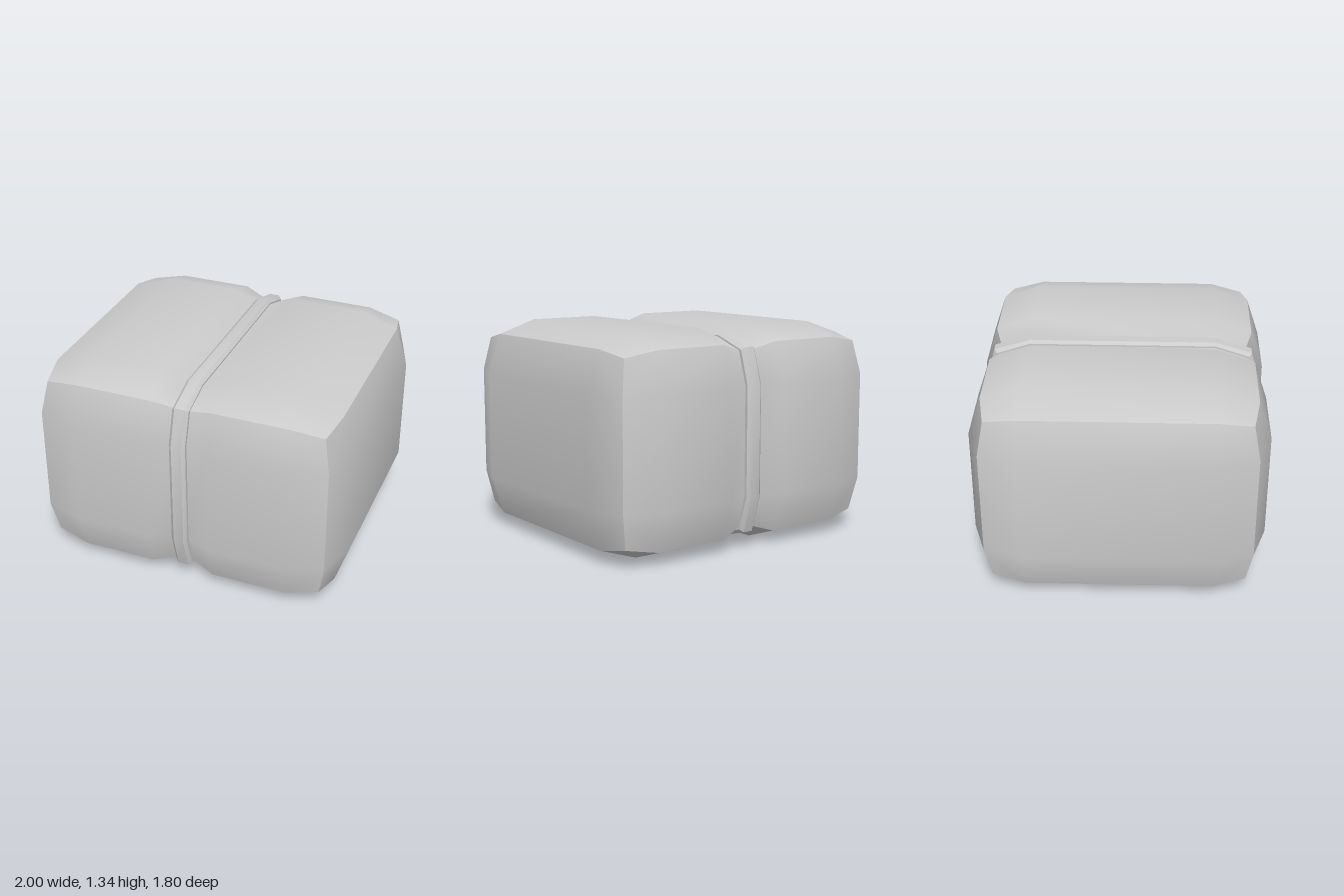
import * as THREE from 'three';
import { toCreasedNormals } from 'three/addons/utils/BufferGeometryUtils.js';

const MID_Y = 0.67;

// Puffed block: a segmented box whose vertices are pulled in at edges, corners and waist
function blockGeometry() {
  const geo = new THREE.BoxGeometry(6, 3, 3, 6, 3, 3);
  const pos = geo.attributes.position;
  const stations = [0, 0.2, 0.67];                 // inner columns along x
  const outer = [1, 0.67, 0.9];                    // half sizes
  const inner = [0, 0.34, 0.58];                   // inner rows along y and z
  const pull = [0, 0, 0.082, 0.12];                // pull-in on face, edge, corner
  const v = new THREE.Vector3();
  for (let i = 0; i < pos.count; i++) {
    const g = v.fromBufferAttribute(pos, i).toArray().map(Math.round);
    const grid = [pos.getX(i), pos.getY(i), pos.getZ(i)];
    const column = Math.abs(g[0]);
    const limit = [3, 1.5, 1.5];
    const extreme = grid.map((c, a) => Math.abs(c) > limit[a] - 0.1);
    const count = extreme.filter(Boolean).length;
    const waist = column === 0 ? (count === 2 ? 0.06 : 0.085) : 0;
    const p = grid.map((c, a) => {
      if (extreme[a]) return Math.sign(c) * (outer[a] - pull[count] - waist);
      return Math.sign(c) * (a === 0 ? stations[column] : inner[a]);
    });
    pos.setXYZ(i, ...p);
  }
  // Split each quad along its outward diagonal so the corners stay rounded and symmetric
  const idx = geo.index;
  const at = (n) => new THREE.Vector3().fromBufferAttribute(pos, n);
  for (let q = 0; q < idx.count; q += 6) {
    const [a, b, d, , c] = Array.from(idx.array.slice(q, q + 6));
    if (at(a).add(at(c)).length() > at(b).add(at(d)).length() + 1e-5) {
      [a, b, c, a, c, d].forEach((n, k) => idx.setX(q + k, n));
    }
  }
  geo.computeVertexNormals();
  return geo;
}

// Bevelled band: a strap profile swept around a 12-sided loop in the yz plane
function strapGeometry() {
  const quarter = [[0.875, 0.34, 1, 0], [0.81, 0.565, 1, 1], [0.58, 0.635, 0, 1]]; // z, y, inset z, inset y
  const flip = (sz, sy) => quarter.map(([z, y, a, b]) => [z * sz, y * sy, a * sz, b * sy]);
  const loop = [...flip(1, 1), ...flip(-1, 1).reverse(), ...flip(-1, -1), ...flip(1, -1).reverse()];
  const profile = [[-0.052, 0.1], [-0.052, 0.017], [-0.032, 0], [0.032, 0], [0.052, 0.017], [0.052, 0.1]]; // x, inset
  const n = loop.length, m = profile.length;
  const verts = [], index = [];
  for (const [z, y, a, b] of loop) {
    for (const [x, r] of profile) verts.push(x, y - b * r, z - a * r);
  }
  for (let i = 0; i < n; i++) {
    for (let j = 0; j < m; j++) {
      const i2 = (i + 1) % n, j2 = (j + 1) % m;
      const a = i * m + j, b = i * m + j2, c = i2 * m + j2, d = i2 * m + j;
      index.push(a, b, c, a, c, d);
    }
  }
  const geo = new THREE.BufferGeometry();
  geo.setAttribute('position', new THREE.Float32BufferAttribute(verts, 3));
  geo.setIndex(index);
  return toCreasedNormals(geo, 0.5);
}

export function createModel() {
  const group = new THREE.Group();
  const material = new THREE.MeshStandardMaterial({ color: 0xcccccc });
  const add = (name, geometry) => {
    const mesh = new THREE.Mesh(geometry, material);
    mesh.name = name;
    mesh.position.y = MID_Y;
    group.add(mesh);
  };
  add('bale', blockGeometry());
  add('strap', strapGeometry());
  return group;
}
